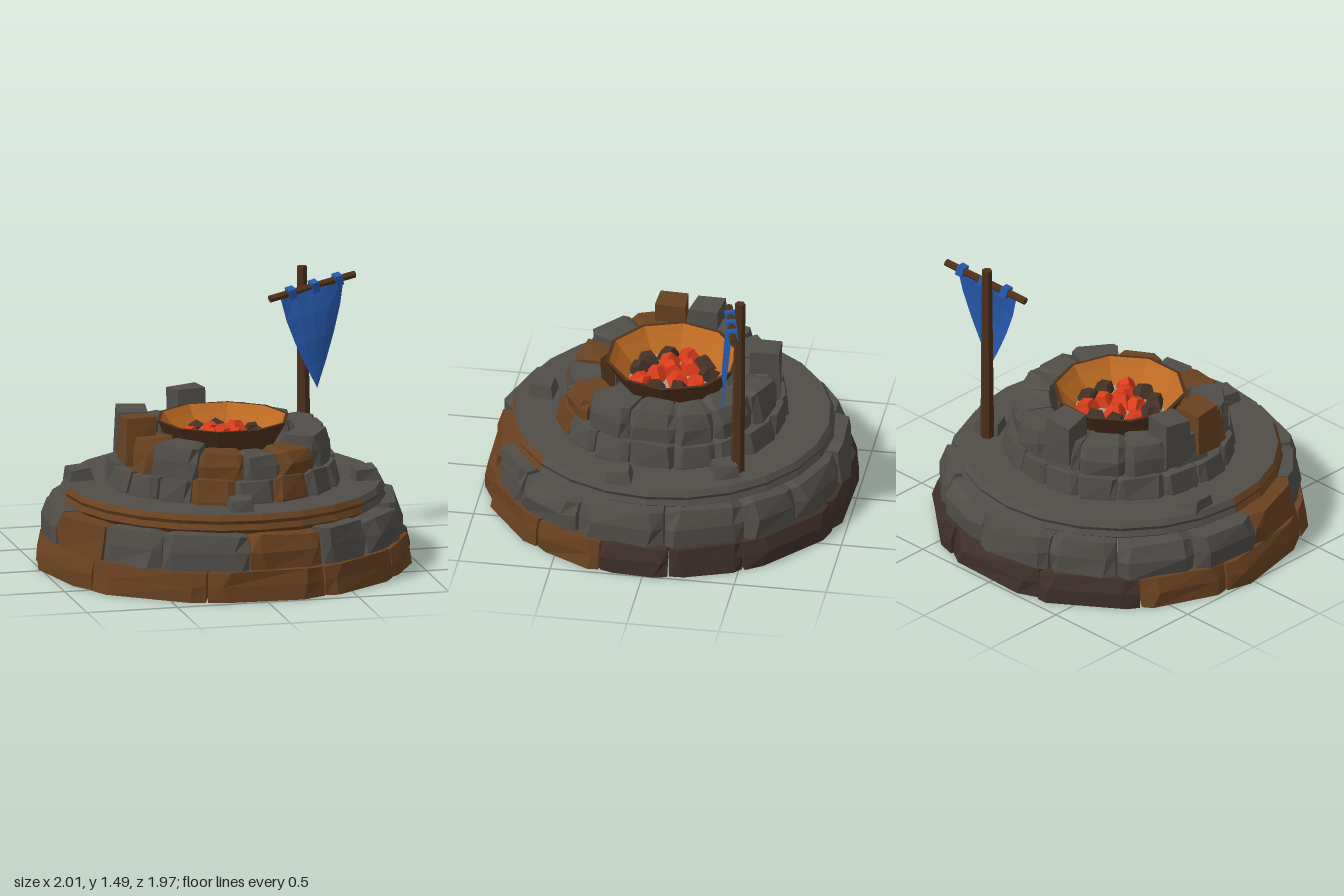
import * as THREE from 'three';

const STONE = 0x514e49, BROWN = 0x694220, UMBER = 0x40302b, WOOD = 0x4f301a;
const BLUE = 0x2659ad, ORANGE = 0xbd6a22, RED = 0xdb3c1c, CHAR = 0x453226, ASH = 0xa59a85;
const RAD = Math.PI / 180;

const materials = {};
function mat(color) {
  materials[color] ??= new THREE.MeshStandardMaterial({ color, flatShading: true, side: THREE.DoubleSide });
  return materials[color];
}

function add(parent, name, geometry, color) {
  const mesh = new THREE.Mesh(geometry, mat(color));
  mesh.name = name;
  parent.add(mesh);
  return mesh;
}

// Repeatable noise in -1..1
function noise(a, b = 0, c = 0) {
  const s = Math.sin(a * 127.1 + b * 311.7 + c * 74.7 + 3.3) * 43758.5453;
  return 2 * (s - Math.floor(s)) - 1;
}

// Rough block set along an arc, flat outside with cut corners; angle 0 faces +z and grows towards +x
function arcStone(a0, a1, r0, r1, y0, y1, seed, rough) {
  const g = new THREE.BoxGeometry(1, 1, 1, 3, 2, 1);
  const p = g.attributes.position;
  for (let i = 0; i < p.count; i++) {
    const u = p.getX(i), v = p.getY(i), w = p.getZ(i);
    const n = k => noise(Math.round(u * 6) + seed * 1.7, Math.round(v * 2) + k, w + k * 2.3);
    const end = Math.abs(u) > 0.4;
    const a = (a0 + a1) / 2 + (a1 - a0) * (end ? u : u * 2.1 + 0.06 * n(1));
    const r = w > 0 ? r1 - rough * ((end ? 0.7 : 0) + (v > 0.4 ? 0.7 : 0) + 0.4 + 0.4 * n(2)) : r0 + rough * 0.4 * n(2);
    const y = y0 + (y1 - y0) * (v + 0.5) - (v > 0.4 ? rough * ((end ? 0.3 : 0) + 0.25 + 0.25 * n(3)) : 0);
    p.setXYZ(i, r * Math.sin(a), y, r * Math.cos(a));
  }
  return g;
}

// Joint angles in degrees for a ring of slightly uneven stones
function evenJoints(count, start, vary) {
  return Array.from({ length: count }, (_, i) => start + (360 / count) * (i + vary * noise(i, count)));
}

// Ring of stones; top, outer radius and tint are chosen from each stone's angle
function stoneRing(parent, name, { joints, r0, r1, y0, top, rough, tint }) {
  const ring = new THREE.Group();
  ring.name = name;
  parent.add(ring);
  joints.forEach((from, i) => {
    const a0 = from + 0.3, a1 = (joints[i + 1] ?? joints[0] + 360) - 0.3;
    const mid = ((a0 + a1) / 2 + 540) % 360 - 180;
    const g = arcStone(a0 * RAD, a1 * RAD, r0, r1 + rough * 0.3 * noise(i, 7), y0, top(mid, i), i + joints.length, rough);
    add(ring, name + 'Stone', g, tint(mid, i));
  });
}

// Irregular cube, narrowed towards the top
function chunk(size, height, taper, seed) {
  const g = new THREE.BoxGeometry(size, height, size);
  const p = g.attributes.position;
  for (let i = 0; i < p.count; i++) {
    const x = p.getX(i), y = p.getY(i), z = p.getZ(i);
    const k = (y > 0 ? taper : 1) + 0.1 * noise(Math.sign(x) + seed, Math.sign(y), Math.sign(z));
    p.setXYZ(i, x * k, y * (1 + 0.1 * noise(Math.sign(x), seed, Math.sign(z))), z * k);
  }
  return g;
}

function lathe(points, sides, start = 0, length = Math.PI * 2) {
  return new THREE.LatheGeometry(points.map(([x, y]) => new THREE.Vector2(x, y)), sides, start, length);
}

// Round beam between two points
function beam(from, to, rFrom, rTo) {
  const a = new THREE.Vector3(...from), b = new THREE.Vector3(...to);
  const g = new THREE.CylinderGeometry(rTo, rFrom, a.distanceTo(b), 6, 2);
  g.applyQuaternion(new THREE.Quaternion().setFromUnitVectors(new THREE.Vector3(0, 1, 0), b.clone().sub(a).normalize()));
  return g.translate(...a.add(b).multiplyScalar(0.5).toArray());
}

function addPlatform(root) {
  stoneRing(root, 'baseRing', {
    joints: [-19, 20, 52, 76, 98, 122, 159, 198, 231, 260, 301],
    r0: 0.69, r1: 1.015, y0: 0, top: () => 0.172, rough: 0.025,
    tint: a => a > 80 || a < -140 ? UMBER : BROWN,
  });
  stoneRing(root, 'middleRing', {
    joints: evenJoints(14, -8, 0.14), r0: 0.65, r1: 0.98, y0: 0.162,
    top: (a, i) => 0.36 + 0.012 * noise(i), rough: 0.04,
    tint: (a, i) => (a > -10 && a < 20) || (a > -100 && a < -20 && i % 2) ? BROWN : STONE,
  });
  // Floor slab, its rim stained brown on one side
  add(root, 'floorSlab', lathe([[0, 0.37], [0.83, 0.34]], 24), STONE);
  add(root, 'floorTop', lathe([[0.85, 0.45], [0, 0.45]], 24), STONE);
  const rim = [[0.83, 0.34], [0.875, 0.37], [0.86, 0.4], [0.87, 0.42], [0.85, 0.45]];
  add(root, 'stainedRim', lathe(rim, 9, -Math.PI / 2, Math.PI * 0.75), BROWN);
  add(root, 'stoneRim', lathe(rim, 15, Math.PI / 4, Math.PI * 1.25), STONE);
  // Loose stones, the last one beside the pole
  [[-0.75, -0.19, 0.1], [0.74, 0.17, 0.05], [-0.08, 0.72, -0.1], [0.6, -0.38, 0.4]].forEach(([x, z, turn], i) => {
    const stone = add(root, 'looseStone', chunk(0.14, 0.08, 0.8, i), STONE);
    stone.position.set(x, 0.475, z);
    stone.rotation.set(0.05, turn, 0.06);
  });
}

function addFirePit(root) {
  // The lower stones are sunk through the slab
  stoneRing(root, 'lowerPitRing', {
    joints: evenJoints(17, -8, 0.14), r0: 0.4, r1: 0.64, y0: 0.34,
    top: (a, i) => 0.582 + 0.008 * noise(i, 2), rough: 0.03,
    tint: (a, i) => a > -30 && a < 60 && i % 3 === 1 ? BROWN : STONE,
  });
  stoneRing(root, 'upperPitRing', {
    joints: evenJoints(14, -30, 0.1), r0: 0.39, r1: 0.59, y0: 0.57, rough: 0.035,
    top: (a, i) => (Math.abs(a) < 35 ? 0.71 : 0.75) + 0.012 * noise(i, 5),
    tint: a => (a > -28 && a < -4) || (a > 20 && a < 46) || (a > -75 && a < -55) ? BROWN : STONE,
  });
  // Taller blocks on the wall
  [[-0.08, -0.49, 0.1, STONE], [-0.5, 0.085, 0.05, BROWN], [-0.48, -0.11, -0.15, STONE]].forEach(([x, z, turn, color], i) => {
    const block = add(root, 'wallBlock', chunk(0.165, 0.25, 0.95, i + 5), color);
    block.position.set(x, 0.72, z);
    block.rotation.y = turn;
  });

  // Fire bowl
  const bowl = new THREE.Group();
  bowl.name = 'fireBowl';
  bowl.rotation.y = Math.PI / 10;
  root.add(bowl);
  add(bowl, 'bowlOutside', lathe([[0, 0.63], [0.28, 0.65], [0.365, 0.79], [0.345, 0.79]], 10), WOOD);
  add(bowl, 'bowlInside', lathe([[0.345, 0.79], [0.315, 0.75], [0.24, 0.67]], 10), ORANGE);
  add(bowl, 'ashBed', lathe([[0.24, 0.67], [0, 0.68]], 10), ASH);

  // Coals: glowing in the middle, mixed with burnt ones at the edge
  const coal = (r, angle, y, color, i) => {
    const mesh = add(root, 'coal', chunk(0.11, 0.07, 0.45, i + 9), color);
    mesh.position.set(r * Math.sin(angle), y, r * Math.cos(angle));
    mesh.rotation.set(0.4 * noise(i, 1), angle + noise(i, 2), 0.4 * noise(i, 3));
  };
  for (let i = 0; i < 10; i++) coal(0.185, i * Math.PI / 5, 0.695, i % 3 === 1 ? RED : CHAR, i);
  for (let i = 0; i < 4; i++) coal(0.095, i * Math.PI / 2 + 0.5, 0.705, RED, i + 20);
  coal(0.01, 0, 0.71, RED, 30);
}

function addBanner(root) {
  const banner = new THREE.Group();
  banner.name = 'banner';
  root.add(banner);
  add(banner, 'pole', beam([0.56, 0.45, -0.445], [0.55, 1.485, -0.458], 0.038, 0.028), WOOD);
  add(banner, 'crossbar', beam([0.35, 1.335, -0.365], [0.845, 1.42, -0.47], 0.021, 0.021), WOOD);
  // Cloth narrowing to a point, with a soft forward bulge
  const cloth = new THREE.PlaneGeometry(2, 1, 4, 4);
  const p = cloth.attributes.position;
  for (let i = 0; i < p.count; i++) {
    const u = p.getX(i), v = 0.5 - p.getY(i);
    const dx = u * 0.185 * (1 - v ** 1.35);
    const bulge = 0.025 * Math.sin(Math.PI * Math.min(1, v + 0.15)) * (1 - u * u);
    p.setXYZ(i, 0.595 + 0.018 * v + dx, 1.375 - 0.545 * v + 0.19 * dx, -0.412 + 0.044 * v - 0.21 * dx + bulge);
  }
  add(banner, 'cloth', cloth, BLUE);
  // Loops tying the cloth to the bar
  for (const t of [0.25, 0.52, 0.8]) {
    const loop = add(banner, 'clothLoop', new THREE.BoxGeometry(0.042, 0.056, 0.056), BLUE);
    loop.position.set(0.35 + 0.495 * t, 1.335 + 0.085 * t, -0.365 - 0.105 * t);
    loop.rotation.set(0.15, 0.21, 0.17);
  }
}

export function createModel() {
  const root = new THREE.Group();
  root.name = 'stoneFirePit';
  addPlatform(root);
  addFirePit(root);
  addBanner(root);
  return root;
}
